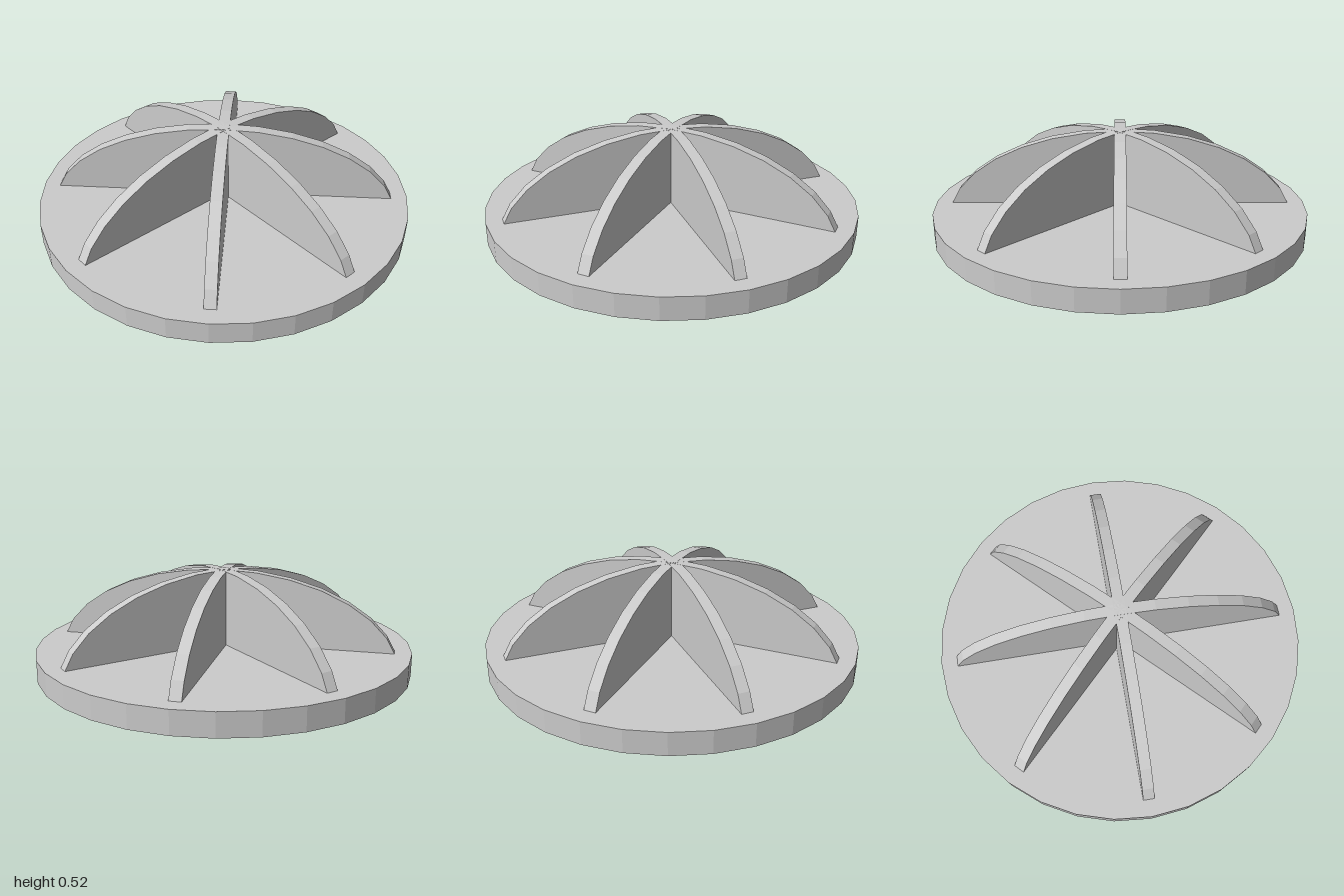
import * as THREE from 'three';

const BASE_HEIGHT = 0.12;
const FIN_THICKNESS = 0.06;

// Upper half of an ellipse in 32nds of a turn, cut off flat at the top of the base
function finShape(a, b) {
  const points = [];
  const step = Math.PI / 16;
  for (let k = 2; k <= 14; k++) {
    points.push(new THREE.Vector2(a * Math.cos(k * step), b * Math.sin(k * step)));
  }
  const low = new THREE.Vector2(a * Math.cos(step), b * Math.sin(step));
  const t = (BASE_HEIGHT - low.y) / (points[0].y - low.y);
  const end = low.x + t * (points[0].x - low.x);
  return new THREE.Shape([
    new THREE.Vector2(end, BASE_HEIGHT),
    ...points,
    new THREE.Vector2(-end, BASE_HEIGHT),
  ]);
}

export function createModel() {
  const group = new THREE.Group();
  group.name = 'finnedDisc';
  const material = new THREE.MeshStandardMaterial({ color: 0xcccccc, flatShading: true });

  // Round base plate
  const base = new THREE.Mesh(new THREE.CylinderGeometry(1, 1, BASE_HEIGHT, 32), material);
  base.name = 'base';
  base.position.y = BASE_HEIGHT / 2;
  group.add(base);

  // Four arched plates crossing at the centre make eight radial fins
  const finGeometry = new THREE.ExtrudeGeometry(finShape(0.94, 0.522), {
    depth: FIN_THICKNESS,
    bevelEnabled: false,
  });
  finGeometry.translate(0, 0, -FIN_THICKNESS / 2);
  for (let i = 0; i < 4; i++) {
    const fin = new THREE.Mesh(finGeometry, material);
    fin.name = `fin${i + 1}`;
    fin.rotation.y = (i * Math.PI) / 4;
    group.add(fin);
  }

  return group;
}
